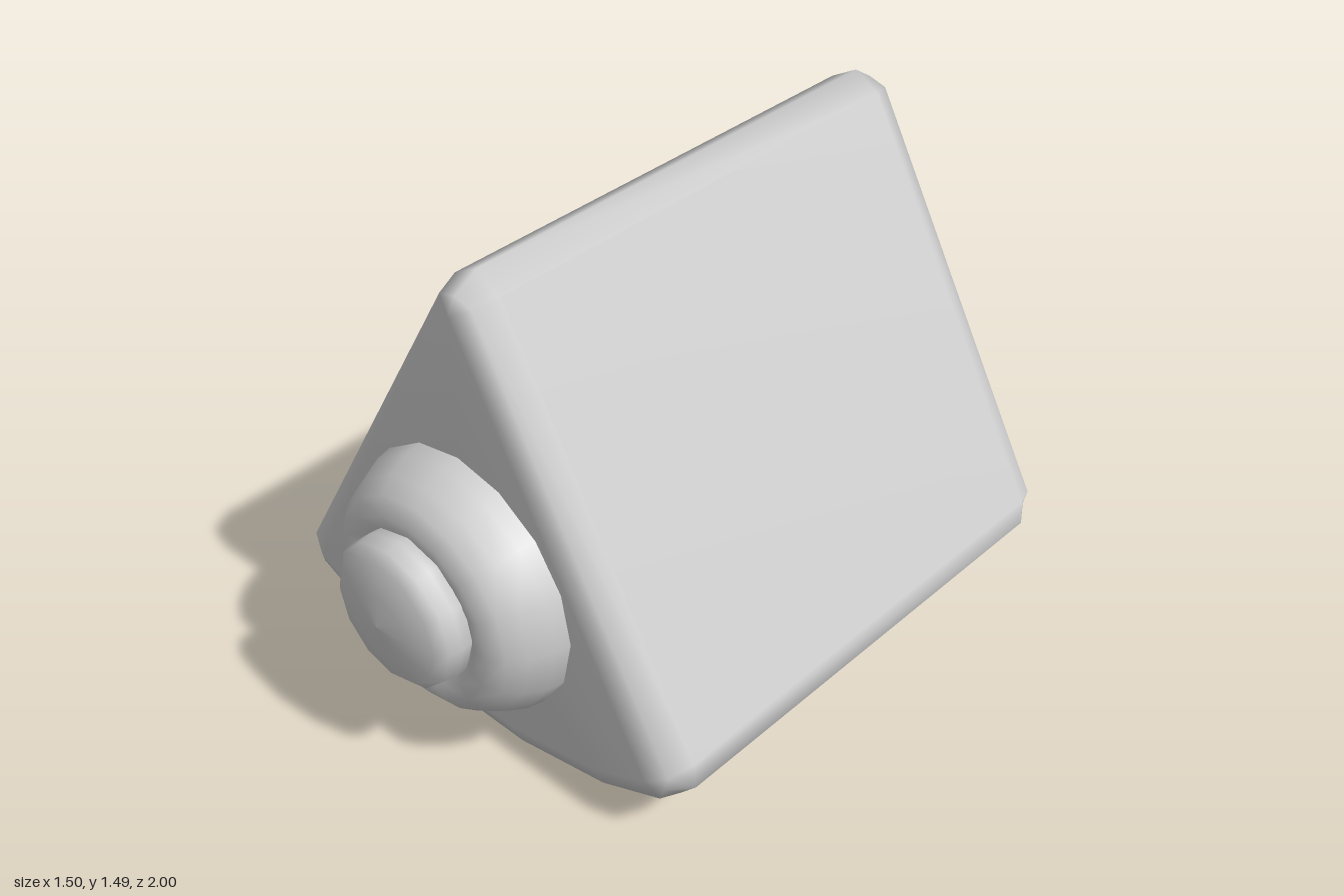
import * as THREE from 'three';
import { mergeVertices } from 'three/addons/utils/BufferGeometryUtils.js';

const R = 0.095; // rounding of the wedge edges

// Right half of the cross-section, bottom to apex: core x, core y, outward angle (deg), mid-bevel factor
const HALF = [
  [0.155, 0.1, -83, 0.7], [0.46, 0.162, -71, 0.7],
  [0.66, 0.254, -63, 0.7], [0.66, 0.254, -19, 0.52], [0.66, 0.254, 30, 0.7],
  [0, 1.4, 30, 0.7],
];
const APEX = [0, 1.4, 90, 0.52];
const SECTION = [
  ...HALF, APEX,
  ...HALF.slice().reverse().map(([x, y, a, f]) => [-x, y, 180 - a, f]),
];

// One loop of the shell; bevel 0 = full size, 1 = halfway round the edge, 2 = core outline
function loop(bevel, z) {
  return SECTION.map(([x, y, a, f]) => {
    const t = THREE.MathUtils.degToRad(a);
    const d = R * [1, f, 0][bevel];
    return [x + Math.cos(t) * d, y + Math.sin(t) * d, z];
  });
}

// Hollow rounded wedge, closed at the front and open at the back
function wedgeGeometry() {
  const loops = [
    loop(2, -1), loop(1, -0.97), loop(0, -0.9),
    loop(0, 0.585), loop(1, 0.66), loop(2, 0.687),
  ];
  const n = SECTION.length;
  const positions = loops.flat(2);
  const index = [];
  for (let k = 0; k < loops.length - 1; k++) {
    for (let i = 0; i < n; i++) {
      const j = (i + 1) % n;
      const a = k * n + i, b = k * n + j, c = b + n, d = a + n;
      index.push(a, b, c, a, c, d);
    }
  }
  // Front panel
  const last = (loops.length - 1) * n;
  const centre = loops.length * n;
  positions.push(0, 0.57, 0.687);
  for (let i = 0; i < n; i++) index.push(centre, last + i, last + ((i + 1) % n));

  let g = new THREE.BufferGeometry();
  g.setAttribute('position', new THREE.Float32BufferAttribute(positions, 3));
  g.setIndex(index);
  g = mergeVertices(g);
  g.computeVertexNormals();
  return g;
}

// Round part turned about the z axis; profile gives [radius, z]
function turned(profile, sides) {
  const g = new THREE.LatheGeometry(profile.map(([r, z]) => new THREE.Vector2(r, z)), sides);
  g.rotateX(Math.PI / 2);
  return g;
}

export function createModel() {
  const group = new THREE.Group();
  const material = new THREE.MeshStandardMaterial({ color: 0xcccccc, side: THREE.DoubleSide });
  const add = (name, geometry, y = 0) => {
    const mesh = new THREE.Mesh(geometry, material);
    mesh.name = name;
    mesh.position.y = y;
    group.add(mesh);
  };

  add('wedgeShell', wedgeGeometry());

  // Rounded collar on the front panel
  add('collar', turned([
    [0.4, 0.68], [0.39, 0.735], [0.36, 0.8], [0.325, 0.845], [0.28, 0.875], [0.23, 0.868], [0.18, 0.84],
  ], 16), 0.57);

  // Domed button inside the collar
  add('button', turned([
    [0.2, 0.83], [0.222, 0.87], [0.225, 0.9], [0.218, 0.94], [0.185, 0.968], [0.1, 0.99], [0, 1],
  ], 12), 0.59);

  return group;
}
